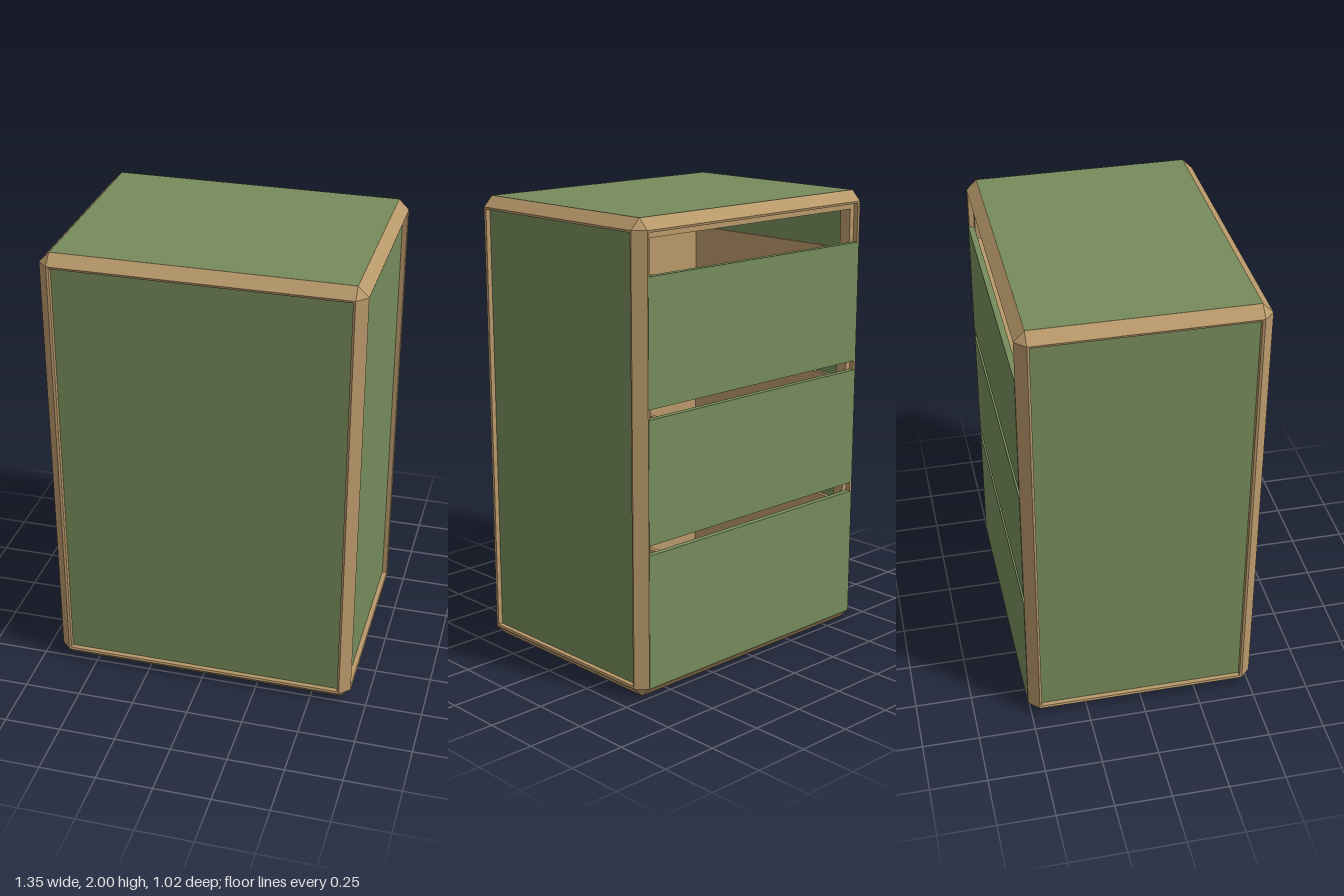
import * as THREE from 'three';
import { ConvexGeometry } from 'three/addons/geometries/ConvexGeometry.js';

const wood = new THREE.MeshStandardMaterial({ color: 0xb8986a });
const green = new THREE.MeshStandardMaterial({ color: 0x768b5b });
const metal = new THREE.MeshStandardMaterial({ color: 0xcccccc });

// Half sizes of the cabinet, and its edge chamfer
const HX = 0.675, HY = 1, HZ = 0.51, C = 0.045;

// Edge rail section: chamfered outside, rebated for the panels; (0, 0) is the outer corner
const SECTION = [
  [C, 0], [0.055, 0.003], [0.055, 0.025], [0.08, 0.025], [0.08, 0.08],
  [0.025, 0.08], [0.025, 0.055], [0.003, 0.055], [0, C],
];

function add(parent, name, geometry, material) {
  const mesh = new THREE.Mesh(geometry, material);
  mesh.name = name;
  parent.add(mesh);
  return mesh;
}

// Box given by its minimum and maximum on each axis
function box(parent, name, material, x0, x1, y0, y1, z0, z1) {
  const mesh = add(parent, name, new THREE.BoxGeometry(x1 - x0, y1 - y0, z1 - z0), material);
  mesh.position.set((x0 + x1) / 2, (y0 + y1) / 2, (z0 + z1) / 2);
  return mesh;
}

// Rail along z, with its outer corner at (sa * ha, sb * hb)
function railGeometry(ha, hb, sa, sb, halfLength) {
  const shape = new THREE.Shape(SECTION.map(([u, v]) => new THREE.Vector2(sa * (ha - u), sb * (hb - v))));
  const geometry = new THREE.ExtrudeGeometry(shape, { depth: 2 * halfLength, bevelEnabled: false });
  return geometry.translate(0, 0, -halfLength);
}

function buildFrame() {
  const frame = new THREE.Group();
  frame.name = 'frame';
  frame.position.y = HY;
  for (const a of [-1, 1]) {
    for (const b of [-1, 1]) {
      add(frame, 'sideRail', railGeometry(HX, HY, a, b, HZ - C), wood);
      add(frame, 'crossRail', railGeometry(HZ, HY, a, b, HX - C).rotateY(Math.PI / 2), wood);
      add(frame, 'cornerPost', railGeometry(HX, HZ, a, b, HY - C).rotateX(-Math.PI / 2), wood);
      // Small three-sided caps where the chamfers meet
      for (const c of [-1, 1]) {
        const points = [[0, C, C], [C, 0, C], [C, C, 0], [C, C, C]].map(
          ([x, y, z]) => new THREE.Vector3(a * (HX - x), b * (HY - y), c * (HZ - z)));
        add(frame, 'cornerCap', new ConvexGeometry(points), wood);
      }
    }
  }
  return frame;
}

function buildPanels() {
  const panels = new THREE.Group();
  panels.name = 'panels';
  box(panels, 'topPanel', green, -0.629, 0.629, 1.972, 2, -0.464, 0.464);
  box(panels, 'bottomPanel', green, -0.629, 0.629, 0, 0.028, -0.464, 0.464);
  box(panels, 'frontPanel', green, -0.62, 0.62, 0.055, 1.945, 0.46, 0.486);
  for (const s of [-1, 1]) {
    const side = box(panels, 'sidePanel', green, -0.013, 0.013, 0.055, 1.945, -0.455, 0.455);
    side.position.x = s * 0.638;
  }
  return panels;
}

// Open drawer: green face, wooden box and a metal runner on each side
function buildDrawer(y0, y1) {
  const drawer = new THREE.Group();
  drawer.name = 'drawer';
  const top = y1 - 0.015, base = y0 + 0.02, t = 0.02;
  box(drawer, 'drawerFace', green, -0.628, 0.628, y0, y1, -0.511, -0.485);
  box(drawer, 'drawerBottom', wood, -0.53, 0.53, base, base + t, -0.485, 0.42);
  box(drawer, 'drawerInnerFront', wood, -0.53, 0.53, base, top, -0.485, -0.465);
  box(drawer, 'drawerEnd', wood, -0.53, 0.53, base, top, 0.4, 0.42);
  for (const s of [-1, 1]) {
    box(drawer, 'drawerSide', wood, -t / 2, t / 2, base, top, -0.485, 0.42).position.x = s * 0.53;
    box(drawer, 'runner', metal, -0.022, 0.022, base, base + 0.04, -0.47, 0.4).position.x = s * 0.562;
    box(drawer, 'runnerSupport', wood, -0.022, 0.022, base - 0.005, base + 0.05, -0.46, 0.46).position.x = s * 0.606;
  }
  return drawer;
}

export function createModel() {
  const model = new THREE.Group();
  model.name = 'drawerCabinet';
  model.add(buildFrame(), buildPanels());
  for (const [y0, y1] of [[0.046, 0.63], [0.672, 1.2], [1.242, 1.775]]) model.add(buildDrawer(y0, y1));
  return model;
}
